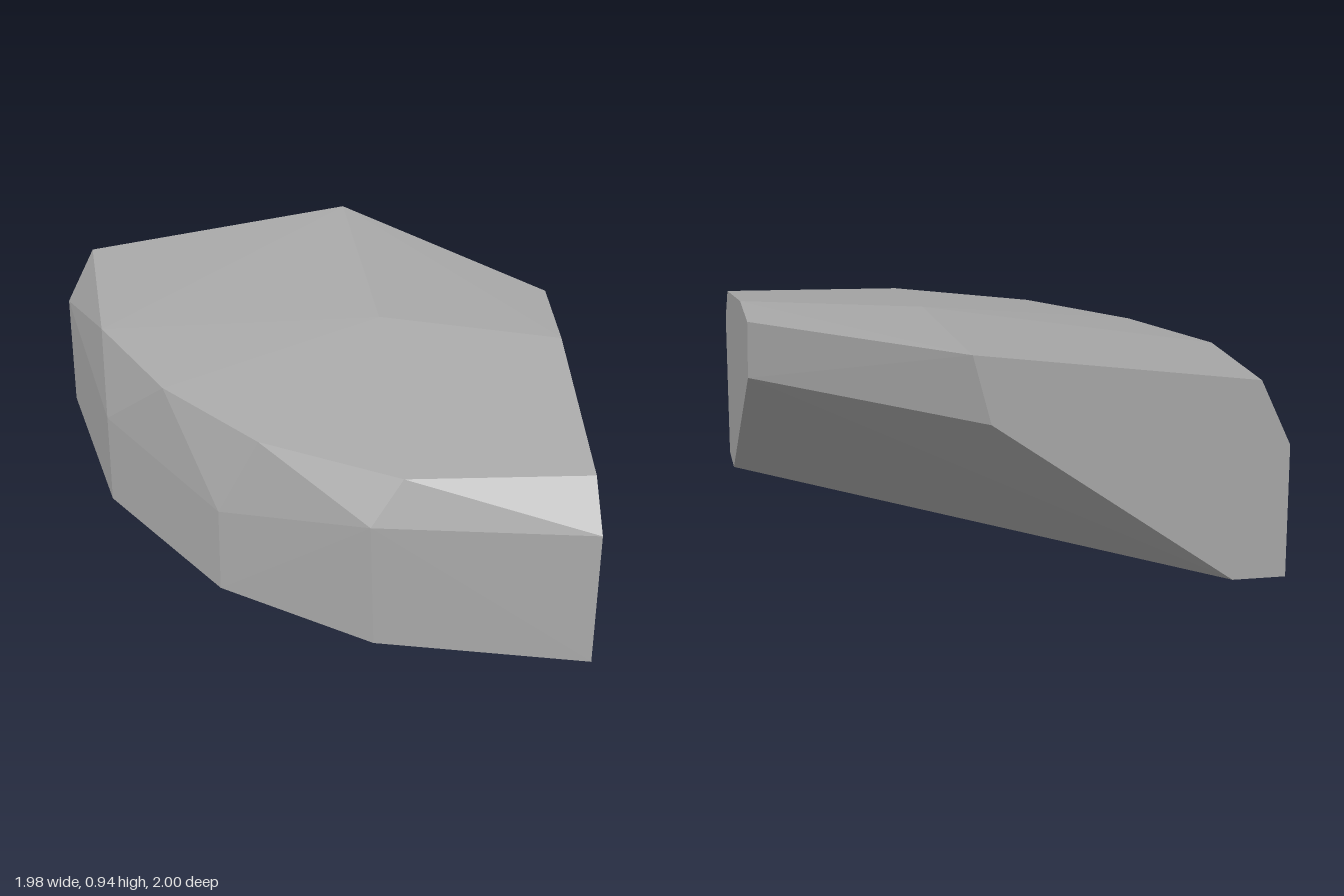
import * as THREE from 'three';
import { ConvexGeometry } from 'three/addons/geometries/ConvexGeometry.js';

// Faceted boulder with two flat cut sides and an undercut back corner
export function createModel() {
  const stone = new THREE.MeshStandardMaterial({ color: 0xa8a8a8 });
  stone.name = 'stone grey';

  const rings = {
    // ground outline, clipped behind by the sloping undercut
    foot: [[-0.99, 0, -1], [-0.85, 0, -0.24], [-0.43, 0, 0.4], [0.15, 0, 0.8],
      [0.99, 0, 1], [0.99, 0, 0.77], [-0.78, 0, -1]],
    // top of the upright front walls
    shoulder: [[-0.99, 0.53, -1], [-0.85, 0.43, -0.24], [-0.43, 0.4, 0.4],
      [0.13, 0.59, 0.8], [0.99, 0.63, 0.99]],
    // rim between the bevelled walls and the top
    rim: [[-0.87, 0.79, -1], [-0.85, 0.78, -0.39], [-0.62, 0.78, 0.06],
      [-0.27, 0.78, 0.46], [0.26, 0.785, 0.76], [0.99, 0.79, 0.82]],
    // high points of the top
    crown: [[0.28, 0.92, -0.15], [0.99, 0.92, 0.08], [0.99, 0.92, -0.27], [0.23, 0.94, -1]],
    // upper edge of the undercut
    undercut: [[0.99, 0.68, -0.22], [0.16, 0.67, -1]],
  };

  const points = Object.values(rings).flat().map((p) => new THREE.Vector3(...p));
  const boulder = new THREE.Mesh(new ConvexGeometry(points), stone);
  boulder.name = 'boulder';

  const group = new THREE.Group();
  group.name = 'rock';
  group.add(boulder);
  return group;
}
